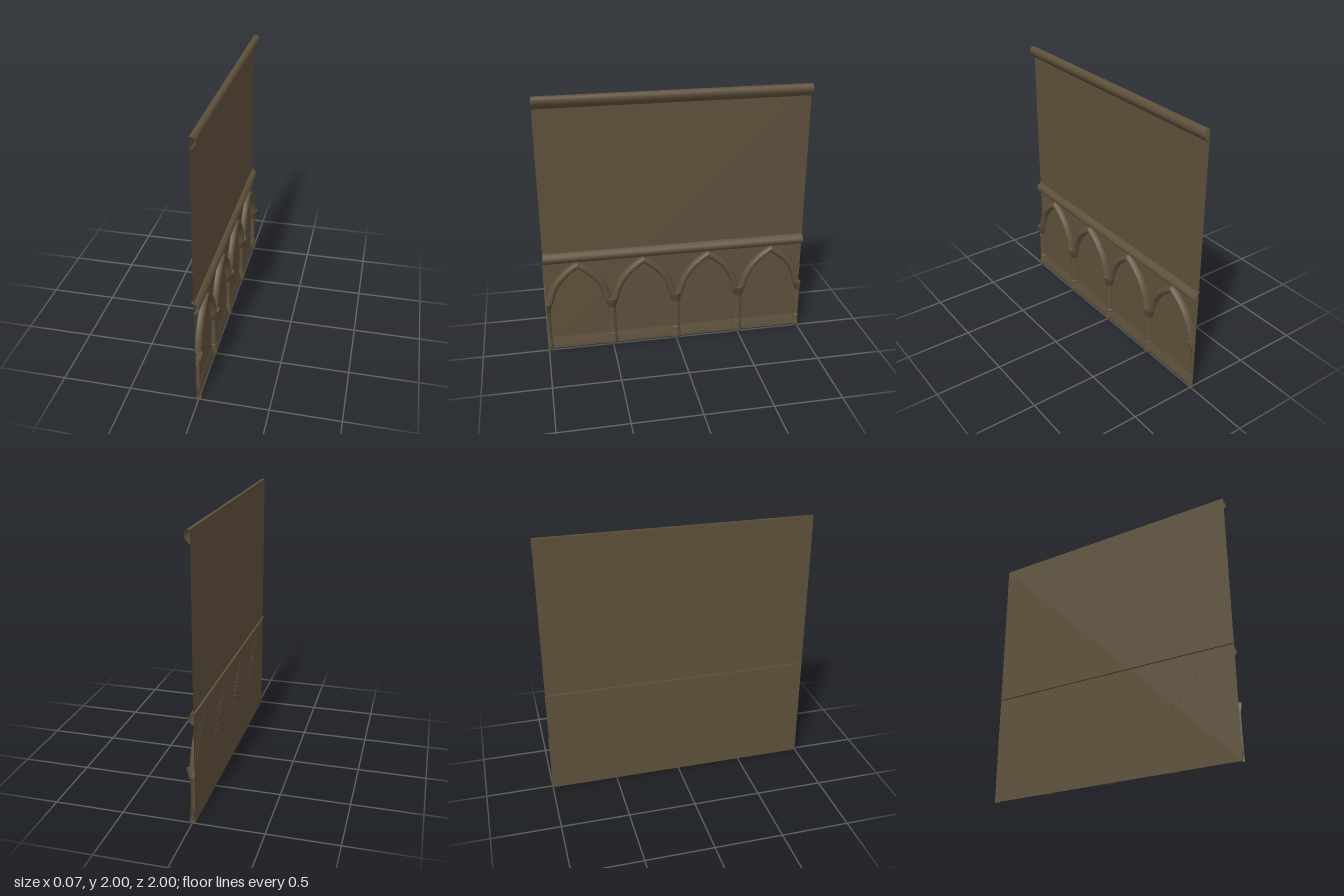
import * as THREE from 'three';
import { toCreasedNormals } from 'three/addons/utils/BufferGeometryUtils.js';

const WALL_X = -0.02;

// Skin a row of equal-length cross-sections (arrays of Vector3)
function loft(sections) {
  const n = sections[0].length;
  const index = [];
  for (let i = 0; i < sections.length - 1; i++) {
    for (let j = 0; j < n - 1; j++) {
      const a = i * n + j, b = a + n;
      index.push(a, b, a + 1, b, b + 1, a + 1);
    }
  }
  const geometry = new THREE.BufferGeometry().setFromPoints(sections.flat());
  geometry.setIndex(index);
  return toCreasedNormals(geometry, 0.6);
}

// Straight moulding along z from an (x, y) profile, top to bottom
function moulding(profile) {
  return loft([-1, 1].map(z => profile.map(([x, y]) => new THREE.Vector3(x, y, z))));
}

// Pointed arch: a rounded rib swept over two mirrored curves, mitred at the apex
function archGeometry() {
  const side = new THREE.QuadraticBezierCurve(
    new THREE.Vector2(-0.222, 0.4), new THREE.Vector2(-0.19, 0.6), new THREE.Vector2(0, 0.71));
  const rib = [[0.026, -0.021], [0.025, -0.002], [0.018, 0.011], [0.008, 0.019],
    [-0.008, 0.019], [-0.018, 0.011], [-0.025, -0.002], [-0.026, -0.021]];
  const steps = 10;
  const left = [];
  for (let i = 0; i <= steps; i++) {
    const p = side.getPoint(i / steps);
    const t = side.getTangent(i / steps);
    const normal = i === steps ? new THREE.Vector2(0, 1 / t.x) : new THREE.Vector2(-t.y, t.x);
    left.push(rib.map(([w, x]) => new THREE.Vector3(x, p.y + normal.y * w, p.x + normal.x * w)));
  }
  const right = left.slice(0, -1).reverse()
    .map(s => s.map(v => new THREE.Vector3(v.x, v.y, -v.z)));
  return loft([...left, ...right]);
}

export function createModel() {
  const model = new THREE.Group();
  const stone = new THREE.MeshStandardMaterial({ color: 0x5e503b, side: THREE.DoubleSide });
  stone.name = 'brownStone';

  function add(name, geometry, x = 0, y = 0, z = 0, parent = model) {
    const mesh = new THREE.Mesh(geometry, stone);
    mesh.name = name;
    mesh.position.set(x, y, z);
    parent.add(mesh);
    return mesh;
  }

  // Thin wall sheet facing +x
  add('wall', new THREE.PlaneGeometry(2, 2).rotateY(Math.PI / 2), WALL_X, 1, 0);

  // Horizontal mouldings
  add('cornice', moulding([[-0.02, 2], [0.002, 2], [0.014, 1.992], [0.021, 1.975],
    [0.02, 1.958], [0.01, 1.94], [-0.008, 1.92], [-0.02, 1.91]]));
  add('middleRail', moulding([[-0.035, 0.815], [-0.02, 0.815], [0, 0.803], [0.014, 0.788],
    [0.019, 0.772], [0.014, 0.755], [-0.002, 0.738], [-0.02, 0.727]]));
  add('plinth', moulding([[-0.02, 0.1], [-0.011, 0.06], [-0.004, 0.03], [-0.003, 0.01], [-0.02, 0]]));

  // Half-round columns, quarter-round at both ends of the wall
  const profiles = {
    columnBase: [[0, 0], [0.036, 0], [0.041, 0.015], [0.041, 0.04], [0.035, 0.06], [0.034, 0.1], [0.03, 0.105]],
    columnShaft: [[0.03, 0.1], [0.03, 0.335]],
    capital: [[0.03, 0.33], [0.034, 0.335], [0.055, 0.41], [0, 0.413]],
  };
  for (let i = -2; i <= 2; i++) {
    const column = new THREE.Group();
    column.name = 'column';
    column.position.set(WALL_X, 0, i / 2);
    const start = i === 2 ? Math.PI / 2 : 0;
    const sweep = Math.abs(i) === 2 ? Math.PI / 2 : Math.PI;
    for (const [name, points] of Object.entries(profiles)) {
      const lathe = new THREE.LatheGeometry(
        points.map(p => new THREE.Vector2(...p)), Math.round(sweep * 10 / Math.PI), start, sweep);
      add(name, toCreasedNormals(lathe, 0.6), 0, 0, 0, column);
    }
    model.add(column);
  }

  // Blind arcade of four pointed arches
  const arch = archGeometry();
  for (const z of [-0.75, -0.25, 0.25, 0.75]) add('pointedArch', arch, 0, 0, z);

  return model;
}
